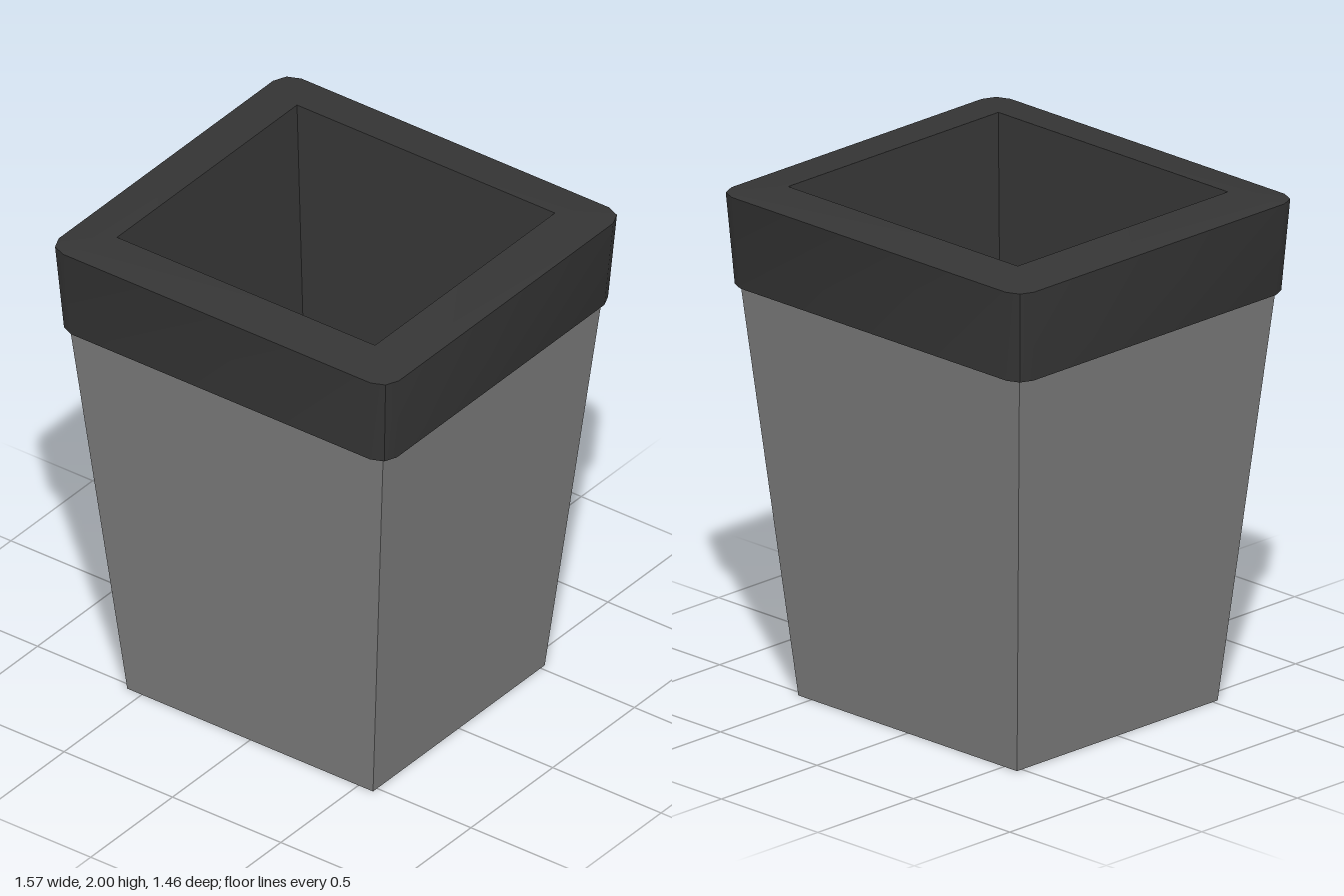
import * as THREE from 'three';
import { toCreasedNormals } from 'three/addons/utils/BufferGeometryUtils.js';

// Rectangular ring with clipped, three-point corners, counter-clockwise from above
function ring([hx, hz, y, c]) {
  const corner = [[c, 0], [0.3 * c, 0.3 * c], [0, c]];
  const points = [];
  [[1, 1], [1, -1], [-1, -1], [-1, 1]].forEach(([sx, sz], k) => {
    const list = k % 2 ? [...corner].reverse() : corner;
    for (const [dx, dz] of list) points.push(new THREE.Vector3(sx * (hx - dx), y, sz * (hz - dz)));
  });
  return points;
}

// Skin through rings [halfX, halfZ, y, corner], optionally closed at either end
function loft(sections, capStart, capEnd) {
  const rings = sections.map(ring);
  const positions = [];
  const tri = (a, b, c) => {
    if (new THREE.Triangle(a, b, c).getArea() < 1e-7) return;
    for (const p of [a, b, c]) positions.push(p.x, p.y, p.z);
  };
  const n = rings[0].length;
  for (let r = 0; r < rings.length - 1; r++) {
    const a = rings[r], b = rings[r + 1];
    for (let i = 0; i < n; i++) {
      const j = (i + 1) % n;
      tri(a[i], a[j], b[j]);
      tri(a[i], b[j], b[i]);
    }
  }
  const cap = (points, up) => {
    const centre = new THREE.Vector3(0, points[0].y, 0);
    points.forEach((p, i) => {
      const q = points[(i + 1) % n];
      if (up) tri(p, q, centre); else tri(q, p, centre);
    });
  };
  if (capStart) cap(rings[0], false);
  if (capEnd) cap(rings[rings.length - 1], true);
  const geometry = new THREE.BufferGeometry();
  geometry.setAttribute('position', new THREE.Float32BufferAttribute(positions, 3));
  return toCreasedNormals(geometry, 0.5);
}

export function createModel() {
  const grey = new THREE.MeshStandardMaterial({ color: 0x7e7e7e });
  grey.name = 'midGrey';
  const dark = new THREE.MeshStandardMaterial({ color: 0x353535 });
  dark.name = 'darkGrey';

  const model = new THREE.Group();
  model.name = 'planter';
  const add = (name, geometry, material) => {
    const mesh = new THREE.Mesh(geometry, material);
    mesh.name = name;
    model.add(mesh);
  };

  // Tapered outer body with its underside
  add('body', loft([[0.567, 0.525, 0, 0], [0.723, 0.67, 1.615, 0]], true, false), grey);

  // Overhanging collar: underside lip, flared band, sloped top
  add('rim', loft([
    [0.72, 0.667, 1.615, 0],
    [0.76, 0.705, 1.615, 0.07],
    [0.785, 0.73, 1.975, 0.075],
    [0.595, 0.55, 2, 0],
  ], false, false), dark);

  // Hollow inside walls and floor
  add('interior', loft([[0.595, 0.55, 2, 0], [0.4, 0.373, 0.04, 0]], false, true), dark);

  return model;
}
